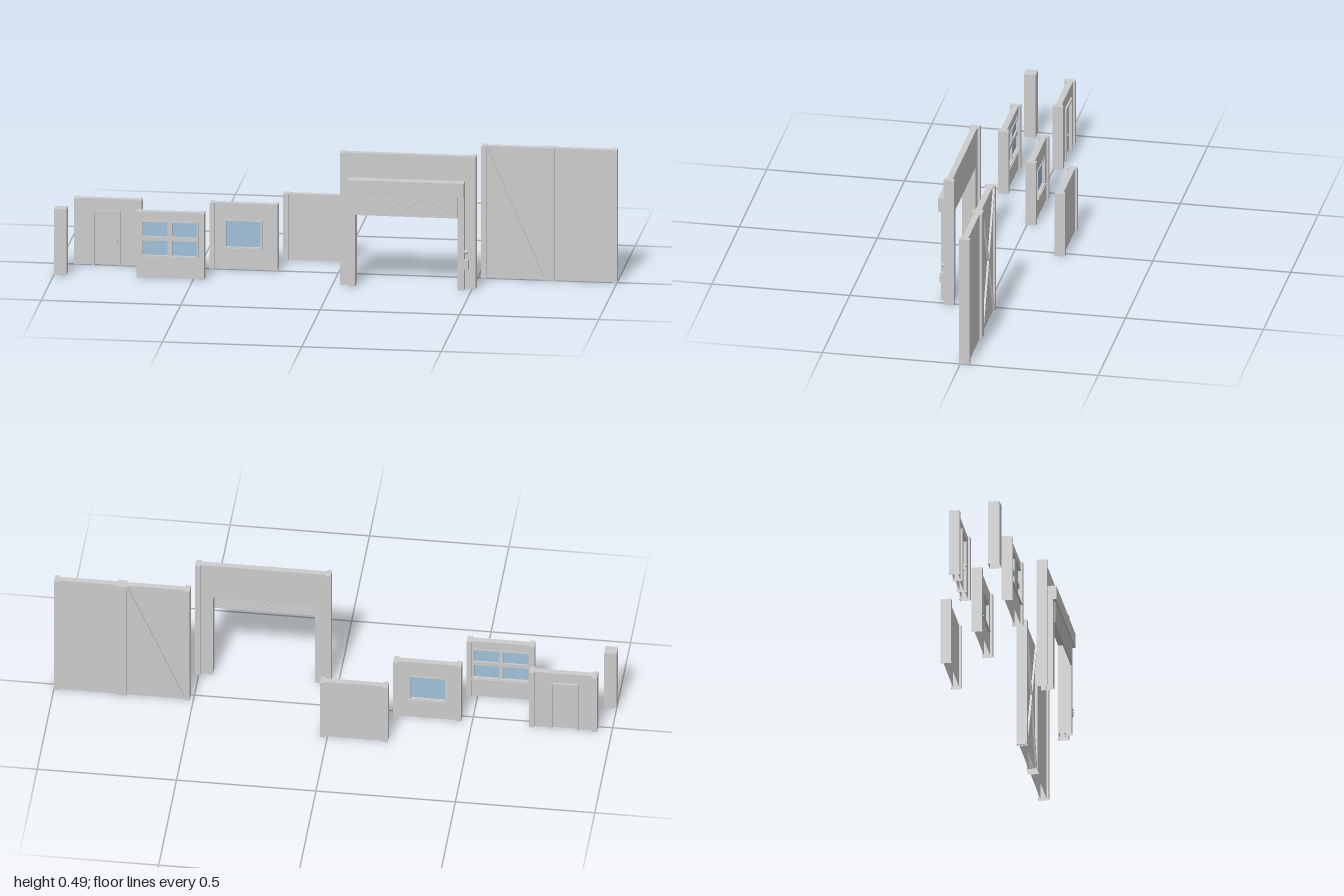
import * as THREE from 'three';

// Shells are open underneath, so their inner faces show too
const grey = new THREE.MeshStandardMaterial({ color: 0xcccccc, flatShading: true, side: THREE.DoubleSide });
const glass = new THREE.MeshStandardMaterial({ color: 0x9fc0d8, side: THREE.DoubleSide });
const UNIT = 0.2435;                  // width and height of a small module
const LOW = UNIT, HIGH = UNIT * 2;    // wall heights
const POST_W = 0.018, POST_D = 0.038; // end posts
const PANEL_D = 0.022;

// Drop the faces lying on the ground
function openBottom(geometry) {
  const g = geometry.index ? geometry.toNonIndexed() : geometry;
  const p = g.attributes.position.array, kept = [];
  for (let i = 0; i < p.length; i += 9) {
    const onGround = [1, 4, 7].every((k) => Math.abs(p[i + k]) < 1e-5);
    if (!onGround) kept.push(...p.slice(i, i + 9));
  }
  const out = new THREE.BufferGeometry();
  out.setAttribute('position', new THREE.Float32BufferAttribute(kept, 3));
  out.computeVertexNormals();
  return out;
}

function add(parent, name, geometry, material = grey) {
  const mesh = new THREE.Mesh(geometry, material);
  mesh.name = name;
  parent.add(mesh);
  return mesh;
}

// Box given by its limits
function box(parent, name, x0, x1, y0, y1, z0, z1, material = grey) {
  const g = new THREE.BoxGeometry(x1 - x0, y1 - y0, z1 - z0);
  g.translate((x0 + x1) / 2, (y0 + y1) / 2, (z0 + z1) / 2);
  return add(parent, name, openBottom(g), material);
}

function rect(Type, x0, x1, y0, y1) {
  return new Type([[x0, y0], [x1, y0], [x1, y1], [x0, y1]].map(([x, y]) => new THREE.Vector2(x, y)));
}

function extrude(parent, name, shape, depth) {
  const g = new THREE.ExtrudeGeometry(shape, { depth, bevelEnabled: false });
  g.translate(0, 0, -depth / 2);
  return add(parent, name, openBottom(g));
}

// Wall module centred on its own z; opening = [x0, x1, y0, y1], reaching the ground if y0 is 0
function wall(root, name, x0, width, height, z, opening) {
  const x1 = x0 + width;
  const group = new THREE.Group();
  group.name = name;
  group.position.z = z;
  root.add(group);
  box(group, 'leftPost', x1 - POST_W, x1, 0, height, -POST_D / 2, POST_D / 2);
  box(group, 'rightPost', x0, x0 + POST_W, 0, height, -POST_D / 2, POST_D / 2);
  const a = x0 + POST_W, b = x1 - POST_W;
  let shape = rect(THREE.Shape, a, b, 0, height);
  if (opening) {
    const [o0, o1, p0, p1] = opening;
    if (p0 > 0) shape.holes.push(rect(THREE.Path, o0, o1, p0, p1));
    else {
      shape = new THREE.Shape([[a, 0], [o0, 0], [o0, p1], [o1, p1], [o1, 0], [b, 0], [b, height], [a, height]]
        .map(([x, y]) => new THREE.Vector2(x, y)));
    }
  }
  extrude(group, 'panel', shape, PANEL_D);
  return group;
}

// Thin-framed window with optional crossed glazing bars and a sill on each face
function windowUnit(group, [x0, x1, y0, y1], crossed) {
  const t = 0.003;
  const frame = rect(THREE.Shape, x0 - t, x1 + t, y0 - t, y1 + t);
  frame.holes.push(rect(THREE.Path, x0 + t, x1 - t, y0 + t, y1 - t));
  extrude(group, 'windowFrame', frame, 0.028);
  box(group, 'glass', x0 + t, x1 - t, y0 + t, y1 - t, -0.003, 0.003, glass);
  box(group, 'windowSill', x0 - 0.005, x1 + 0.005, y0 - 0.004, y0, -0.018, 0.018);
  if (crossed) {
    const cx = (x0 + x1) / 2, cy = (y0 + y1) / 2;
    box(group, 'verticalBar', cx - 0.008, cx + 0.008, y0, y1, -0.009, 0.009);
    box(group, 'horizontalBar', x0, x1, cy - 0.008, cy + 0.008, -0.009, 0.009);
  }
}

function doorUnit(group, [x0, x1, , y1]) {
  const t = 0.006, d = 0.018;
  for (const [a, b] of [[x0 - 0.002, x0 + t], [x1 - t, x1 + 0.002]]) {
    box(group, 'doorJamb', a, b, 0, y1, -d, d);
  }
  box(group, 'doorHead', x0 - 0.002, x1 + 0.002, y1 - t, y1 + 0.002, -d, d);
  box(group, 'doorLeaf', x0 + t, x1 - t, 0, y1 - t, -0.007, 0.007);
  // Lever handle on both faces
  const hx = x1 - 0.013, hy = 0.093;
  for (const s of [-1, 1]) {
    box(group, 'handlePlate', hx - 0.003, hx + 0.003, hy - 0.014, hy + 0.006, s * 0.009 - 0.002, s * 0.009 + 0.002);
    const spindle = new THREE.CylinderGeometry(0.0015, 0.0015, 0.013, 8);
    add(group, 'handleSpindle', spindle.rotateX(Math.PI / 2).translate(hx, hy, s * 0.0145));
    box(group, 'handleLever', hx - 0.014, hx + 0.002, hy - 0.0015, hy + 0.0015, s * 0.0205 - 0.0015, s * 0.0205 + 0.0015);
  }
}

function rollerDoor(group, [x0, x1]) {
  const front = 0.037; // track face, measured from the wall's centre
  box(group, 'rightTrack', 0.057, x0, 0, 0.343, PANEL_D / 2, front);
  box(group, 'leftTrack', x1, 0.474, 0, 0.343, PANEL_D / 2, front);
  box(group, 'rollerHousing', 0.057, 0.474, 0.343, 0.396, PANEL_D / 2, 0.048);
  // Curtain of shallow horizontal slats
  const rows = 10, y0 = 0.265, step = (0.343 - y0) / rows;
  box(group, 'curtain', x0, x1, y0, 0.343, 0.035, 0.039);
  for (let i = 0; i < rows; i++) {
    const y = y0 + i * step;
    box(group, 'slat', x0, x1, y + step * 0.2, y + step * 0.75, 0.0335, 0.0405);
  }
  // Control box with three buttons and a warning lamp
  box(group, 'controlBox', 0.474, 0.488, 0.075, 0.11, PANEL_D / 2, 0.037);
  for (let i = 0; i < 3; i++) {
    const button = new THREE.CylinderGeometry(0.0035, 0.0035, 0.004, 10);
    add(group, 'button', button.rotateX(Math.PI / 2).translate(0.481, 0.082 + i * 0.0105, 0.039));
  }
  const lamp = new THREE.SphereGeometry(0.0075, 16, 12);
  add(group, 'warningLamp', lamp.translate(0.48, 0.14, 0.027));
  box(group, 'lampBase', 0.474, 0.484, 0.136, 0.144, PANEL_D / 2, 0.022);
}

// Diagonal bracing across a panel, as deep as the posts
function crossBrace(group, x0, x1, y0, y1) {
  const w = x1 - x0, h = y1 - y0;
  for (const s of [-1, 1]) {
    const bar = add(group, 'diagonalBrace', new THREE.BoxGeometry(0.006, Math.hypot(w, h) - 0.004, 0.036));
    bar.position.set((x0 + x1) / 2, (y0 + y1) / 2, 0);
    bar.rotation.z = s * Math.atan2(w, h);
  }
}

export function createModel() {
  const root = new THREE.Group();
  root.name = 'wallModules';
  const frontZ = 0.138, midZ = -0.0145, backZ = -0.167;
  const slot = (i) => -0.948 + i * UNIT; // modules follow one another along x

  // Free-standing corner post
  box(root, 'cornerPost', -1, -0.955, 0, LOW, 0.115, 0.157);

  const door = [-0.88, -0.782, 0, 0.2];
  doorUnit(wall(root, 'doorWall', slot(0), UNIT, LOW, midZ, door), door);

  const wide = [-0.686, -0.484, 0.079, 0.208];
  windowUnit(wall(root, 'wideWindowWall', slot(1), UNIT, LOW, frontZ - 0.003, wide), wide, true);

  const small = [-0.405, -0.276, 0.079, 0.181];
  windowUnit(wall(root, 'smallWindowWall', slot(2), UNIT, LOW, midZ, small), small, false);

  wall(root, 'plainWall', slot(3), UNIT, LOW, backZ);

  const gate = [0.083, 0.45, 0, 0.345];
  rollerDoor(wall(root, 'rollerDoorWall', slot(4), UNIT * 2, HIGH, frontZ, gate), gate);

  // Pair of tall walls joined side by side
  const braced = wall(root, 'bracedWall', slot(6), UNIT, HIGH, midZ);
  crossBrace(braced, slot(6) + POST_W, slot(7) - POST_W, 0.003, 0.484);
  wall(root, 'tallPlainWall', slot(7), UNIT, HIGH, midZ);

  return root;
}
